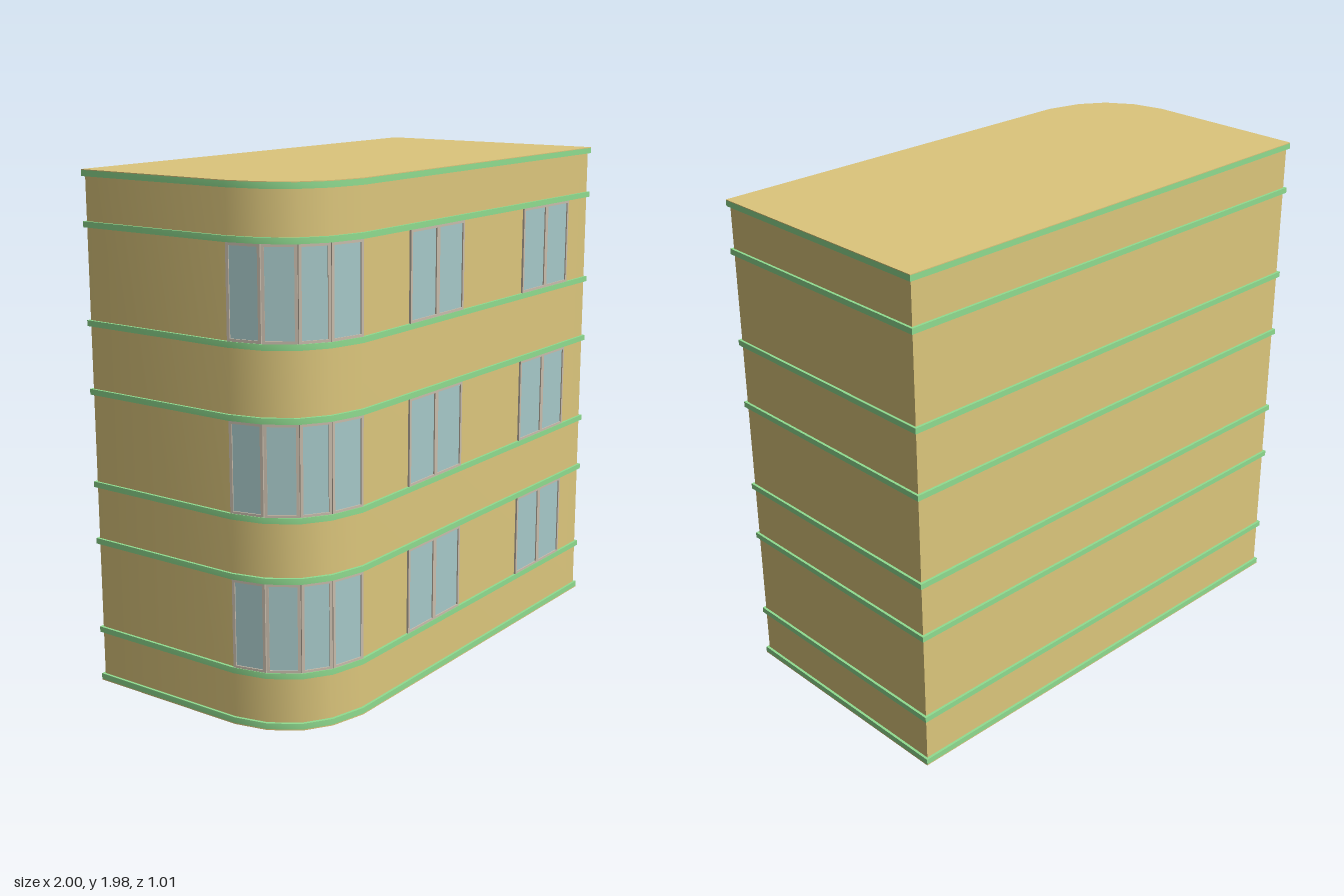
import * as THREE from 'three';
import { toCreasedNormals } from 'three/addons/utils/BufferGeometryUtils.js';

const wallMat = new THREE.MeshStandardMaterial({ color: 0xdcc67c });
const bandMat = new THREE.MeshStandardMaterial({ color: 0x90dc90 });
const frameMat = new THREE.MeshStandardMaterial({ color: 0xc8bcac });
const glassMat = new THREE.MeshStandardMaterial({ color: 0xa6c8c8 });

// Floor plan (x, z) with one faceted rounded corner at the front
const corner = [[-1, 0.17], [-0.97, 0.3], [-0.9, 0.405], [-0.8, 0.47], [-0.66, 0.505]];
const plan = [[1, 0.505], [1, -0.505], [-1, -0.505], ...corner];
const INSET = 0.01;
const inset = ([x, z], d) => [x * (1 - d), z * (1 - d / 0.505)];

// Horizontal slab of the floor plan between two heights
function slab(name, y0, y1, d, material) {
  const shape = new THREE.Shape(plan.map((p) => {
    const [x, z] = inset(p, d);
    return new THREE.Vector2(x, -z);
  }));
  const geo = new THREE.ExtrudeGeometry(shape, { depth: y1 - y0, bevelEnabled: false });
  geo.rotateX(-Math.PI / 2).translate(0, y0, 0);
  const mesh = new THREE.Mesh(toCreasedNormals(geo, 0.6), material);
  mesh.name = name;
  return mesh;
}

// One framed pane, spanning two wall points given left to right from outside
function pane(name, a, b, y0, y1) {
  const dx = b[0] - a[0], dz = b[1] - a[1];
  const w = Math.hypot(dx, dz), h = y1 - y0, t = 0.011;
  const rect = (Type, x, y) => new Type([
    new THREE.Vector2(-x, -y), new THREE.Vector2(x, -y),
    new THREE.Vector2(x, y), new THREE.Vector2(-x, y),
  ]);
  const shape = rect(THREE.Shape, w / 2, h / 2);
  shape.holes.push(rect(THREE.Path, w / 2 - t, h / 2 - t));
  const frame = new THREE.Mesh(
    new THREE.ExtrudeGeometry(shape, { depth: 0.008, bevelEnabled: false }), frameMat);
  frame.name = 'windowFrame';
  const glass = new THREE.Mesh(new THREE.BoxGeometry(w - 2 * t, h - 2 * t, 0.006), glassMat);
  glass.name = 'windowGlass';
  const group = new THREE.Group();
  group.name = name;
  group.add(frame, glass);
  group.position.set((a[0] + b[0]) / 2, (y0 + y1) / 2, (a[1] + b[1]) / 2);
  group.rotation.y = Math.atan2(-dz, dx);
  return group;
}

export function createModel() {
  const model = new THREE.Group();
  model.name = 'building';

  // Walls, with roof and base plates reaching the trim edge
  model.add(slab('walls', 0.003, 1.976, INSET, wallMat));
  model.add(slab('roof', 1.976, 1.979, 0, wallMat));
  model.add(slab('base', 0, 0.004, 0, wallMat));

  // Green trim bands
  for (const y of [0.015, 0.21, 0.57, 0.795, 1.155, 1.415, 1.78, 1.965]) {
    model.add(slab('trimBand', y - 0.011, y + 0.011, 0, bandMat));
  }

  // Three floors of windows
  const front = 0.505 - INSET;
  for (const [y0, y1] of [[0.219, 0.56], [0.804, 1.145], [1.425, 1.77]]) {
    for (const [x0, x1] of [[-0.362, 0], [0.45, 0.82]]) {
      const mid = (x0 + x1) / 2;
      model.add(pane('frontWindowLeftSash', [x0, front], [mid, front], y0, y1));
      model.add(pane('frontWindowRightSash', [mid, front], [x1, front], y0, y1));
    }
    for (let i = 0; i < corner.length - 1; i++) {
      model.add(pane('cornerWindow', inset(corner[i], INSET), inset(corner[i + 1], INSET), y0, y1));
    }
  }
  return model;
}
